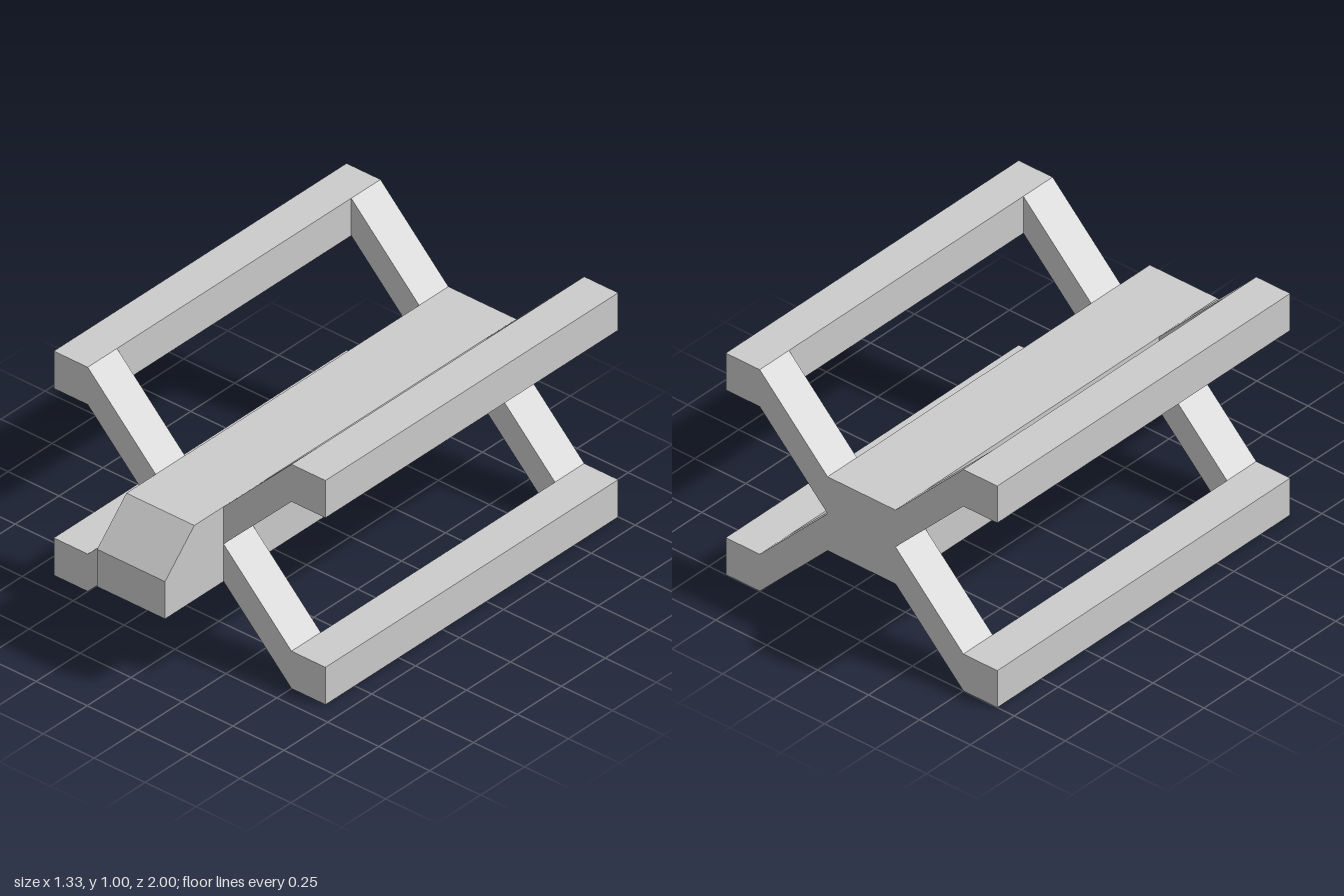
import * as THREE from 'three';

const U = 1 / 6; // every size is a multiple of this unit

function extrude(points, depth) {
  const shape = new THREE.Shape(points.map(([x, y]) => new THREE.Vector2(x * U, y * U)));
  return new THREE.ExtrudeGeometry(shape, { depth: depth * U, bevelEnabled: false });
}

export function createModel() {
  const group = new THREE.Group();
  const material = new THREE.MeshStandardMaterial({ color: 0xcccccc, flatShading: true });
  const add = (name, geometry) => {
    const mesh = new THREE.Mesh(geometry, material);
    mesh.name = name;
    group.add(mesh);
    return mesh;
  };

  // Long central body: side profile (z, y) with a sloped nose, extruded across x
  const body = extrude([[-6, 2], [6, 2], [6, 3], [5, 4], [-6, 4]], 2);
  body.rotateY(-Math.PI / 2).translate(U, 0, 0);
  add('body', body);

  for (const side of [1, -1]) {
    const sideName = side > 0 ? 'left' : 'right';
    for (const up of [1, -1]) {
      const name = sideName + (up > 0 ? 'Upper' : 'Lower');

      // Rail running along the body at the end of the struts
      const rail = add(name + 'Rail', new THREE.BoxGeometry(U, U, 10 * U));
      rail.position.set(side * 3.5 * U, (3 + up * 2.5) * U, -U);

      // Slanted struts joining body and rail, one at the front and one at the back
      const outline = [[1, 0], [3, 2], [3, 3], [1, 1]].map(([x, y]) => [side * x, 3 + up * y]);
      for (const [end, z] of [['Front', 3], ['Rear', -6]]) {
        add(name + end + 'Strut', extrude(outline, 1)).position.z = z * U;
      }
    }
  }
  return group;
}
